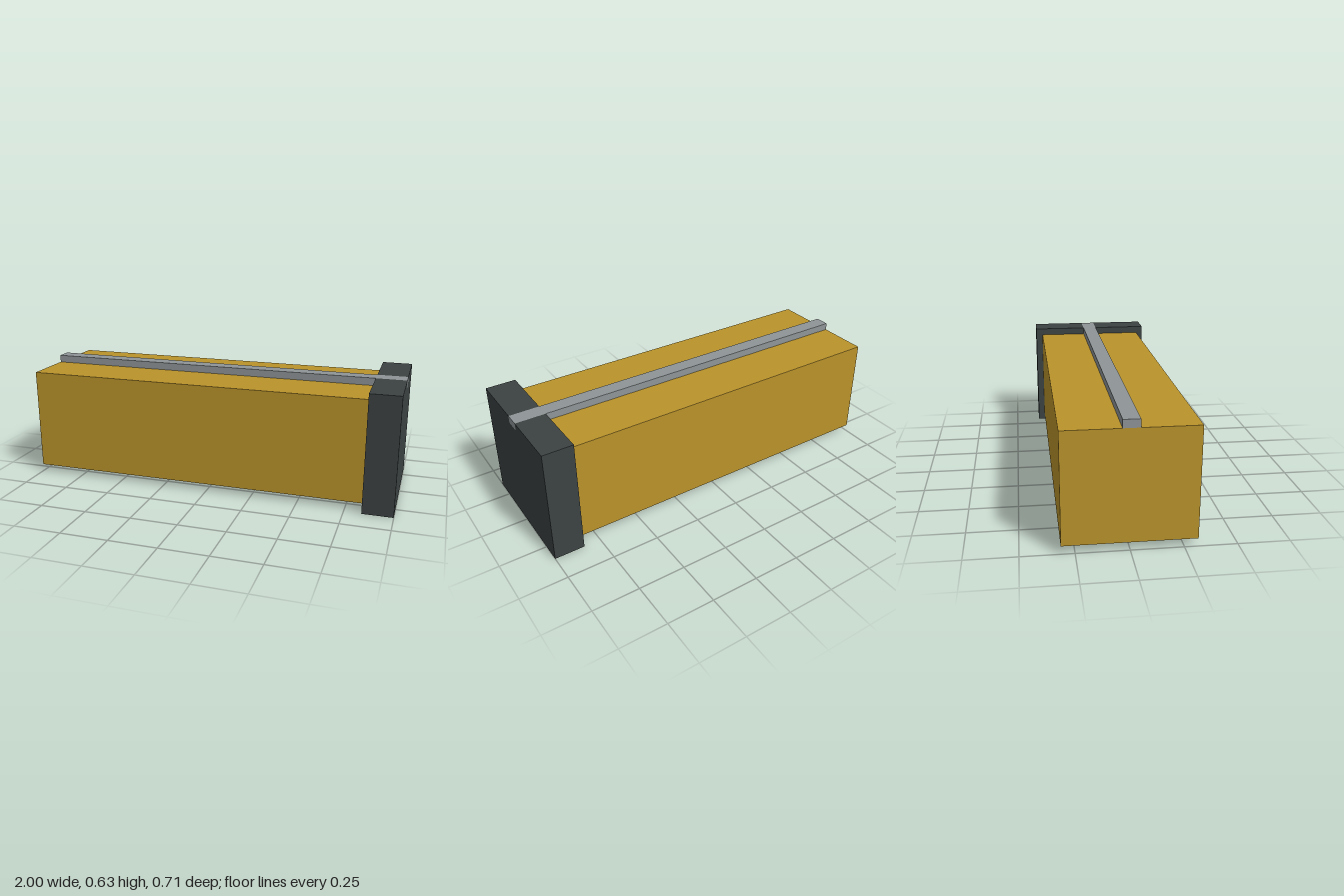
import * as THREE from 'three';

const mat = (name, color) => {
  const m = new THREE.MeshStandardMaterial({ color });
  m.name = name;
  return m;
};

export function createModel() {
  const gold = mat('gold', 0xba932b);
  const charcoal = mat('charcoal', 0x3c4242);
  const grey = mat('grey', 0x8f9597);

  const model = new THREE.Group();
  model.name = 'block';

  const add = (name, geometry, material, x, y) => {
    const mesh = new THREE.Mesh(geometry, material);
    mesh.name = name;
    mesh.position.set(x, y, 0);
    model.add(mesh);
    return mesh;
  };

  const top = 0.628, railH = 0.04, railHalf = 0.04, capHalf = 0.353;
  const seat = top - railH;

  // Long body
  add('body', new THREE.BoxGeometry(1.84, seat - 0.04, 0.628), gold, -0.08, (seat + 0.04) / 2);

  // Thin rail running the full length along the top
  add('rail', new THREE.BoxGeometry(2, railH, railHalf * 2), grey, 0, top - railH / 2);

  // End cap, slotted at the top so the rail sits flush in it
  const section = new THREE.Shape([
    [-capHalf, 0], [capHalf, 0], [capHalf, top], [railHalf, top],
    [railHalf, seat], [-railHalf, seat], [-railHalf, top], [-capHalf, top],
  ].map(([x, y]) => new THREE.Vector2(x, y)));
  const cap = new THREE.ExtrudeGeometry(section, { depth: 0.16, bevelEnabled: false });
  cap.rotateY(Math.PI / 2);
  add('endCap', cap, charcoal, 0.84, 0);

  return model;
}
